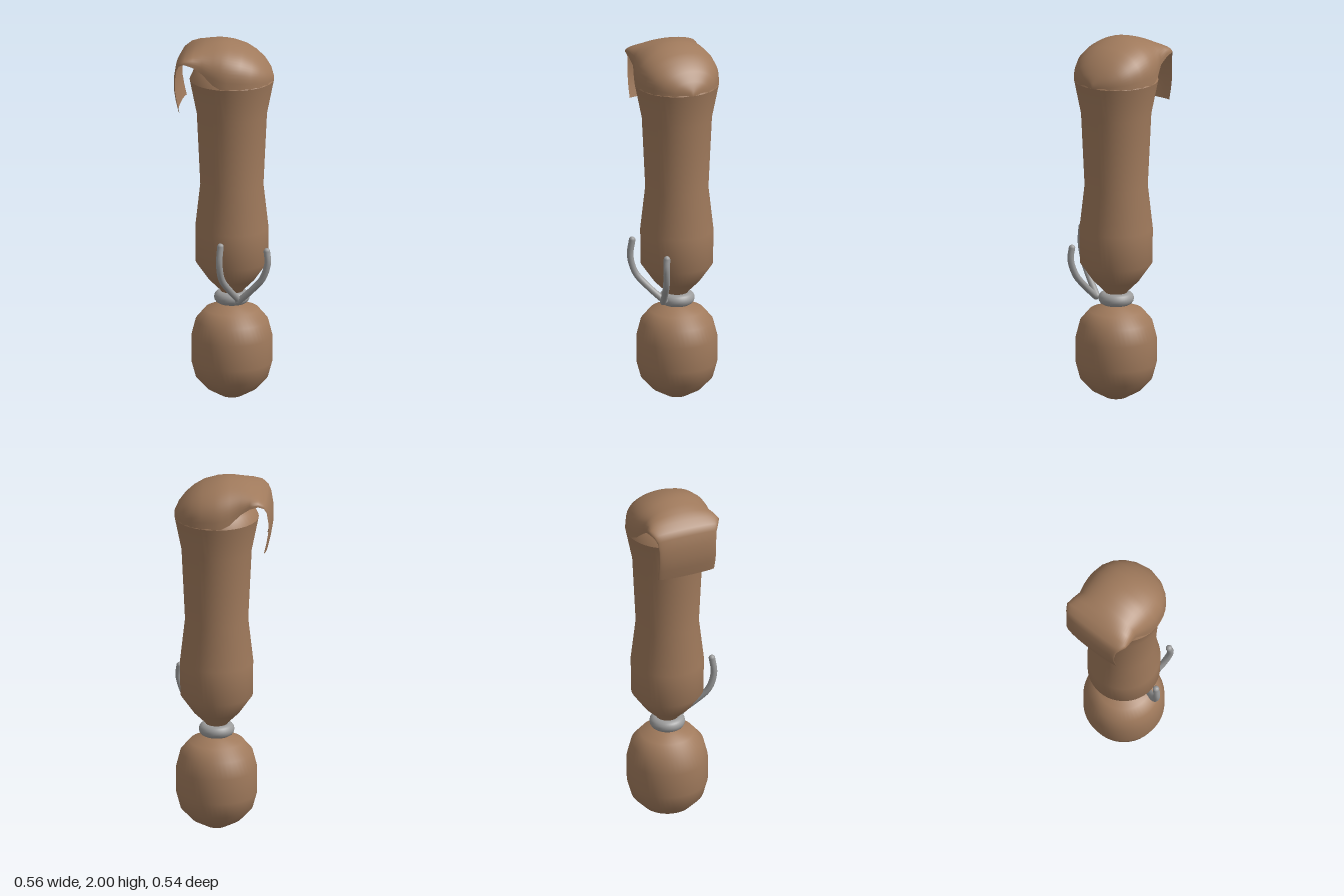
import * as THREE from 'three';

const AX = 0.053, AZ = 0.02; // vertical axis of the turned parts

export function createModel() {
  const group = new THREE.Group();
  const leather = new THREE.MeshStandardMaterial({ color: 0xa07a5c, side: THREE.DoubleSide });
  leather.name = 'brown leather';
  const metal = new THREE.MeshStandardMaterial({ color: 0x9c9c9c });
  metal.name = 'grey metal';

  const add = (name, geometry, material) => {
    const mesh = new THREE.Mesh(geometry, material);
    mesh.name = name;
    group.add(mesh);
    return mesh;
  };
  const turned = (name, profile) => {
    const pts = profile.map(([r, y]) => new THREE.Vector2(r, y));
    add(name, new THREE.LatheGeometry(pts, 48), leather).position.set(AX, 0, AZ);
  };

  // Rounded knob at the bottom
  turned('knob', [[0, 0], [0.055, 0.005], [0.135, 0.05], [0.195, 0.115], [0.218, 0.2],
    [0.218, 0.34], [0.195, 0.43], [0.145, 0.49], [0.05, 0.52], [0, 0.525]]);

  // Long sheath, closed by a low dome beneath the cover
  turned('sheath', [[0.04, 0.56], [0.065, 0.6], [0.125, 0.66], [0.195, 0.76], [0.197, 0.95],
    [0.17, 1.19], [0.189, 1.59], [0.227, 1.78]]);
  turned('innerDome', [[0.227, 1.78], [0.205, 1.83], [0.15, 1.885], [0.08, 1.91], [0, 1.915]]);

  // Neck ring
  const ring = new THREE.TorusGeometry(0.062, 0.034, 16, 48);
  ring.rotateX(Math.PI / 2);
  add('neckRing', ring, metal).position.set(AX, 0.558, AZ);

  // Cover: arched cross-sections running from the front rim back into a hanging flap
  // Each row: distance along the drape, half width, middle height, edge height, outward bow
  const R = 0.227;
  const rows = [[-0.227, 1.78], [-0.226, 1.81], [-0.205, 1.855], [-0.17, 1.9],
    [-0.125, 1.94], [-0.07, 1.972], [0, 1.993]]
    .map(([u, y]) => [u, Math.sqrt(Math.max(0, R * R - u * u)), y, 1.78, 0]);
  rows.push(
    [0.04, 0.224, 1.999, 1.785, 0], [0.08, 0.216, 2.0, 1.805, 0],
    [0.14, 0.196, 1.99, 1.86, 0], [0.19, 0.2, 1.975, 1.895, 0],
    [0.235, 0.203, 1.95, 1.91, 0], [0.265, 0.185, 1.92, 1.895, 0.008],
    [0.28, 0.17, 1.885, 1.865, 0.012], [0.288, 0.165, 1.82, 1.81, 0.015],
    [0.288, 0.165, 1.75, 1.75, 0.016], [0.278, 0.165, 1.69, 1.69, 0.016],
    [0.264, 0.163, 1.63, 1.63, 0.016]);
  const N = 32, positions = [], index = [];
  const dx = -0.891, dz = -0.453; // drape direction
  rows.forEach(([u, w, mid, edge, bow], i) => {
    for (let j = 0; j <= N; j++) {
      const a = (j / N - 0.5) * Math.PI;
      const arch = Math.max(0, Math.cos(a));
      const v = w * Math.sin(a), p = u + bow * arch;
      positions.push(AX + dx * p - dz * v, edge + (mid - edge) * Math.pow(arch, 0.7), AZ + dz * p + dx * v);
      if (i < rows.length - 1 && j < N) {
        const k = i * (N + 1) + j;
        index.push(k, k + 1, k + N + 1, k + 1, k + N + 2, k + N + 1);
      }
    }
  });
  const cover = new THREE.BufferGeometry();
  cover.setAttribute('position', new THREE.Float32BufferAttribute(positions, 3));
  cover.setIndex(index);
  cover.computeVertexNormals();
  add('drapedCover', cover, leather);

  // Two curved prongs rising from the ring, with rounded ends
  const prong = (name, points) => {
    const pts = points.map(p => new THREE.Vector3(...p));
    const curve = new THREE.CatmullRomCurve3(pts);
    add(name, new THREE.TubeGeometry(curve, 20, 0.018, 10), metal);
    for (const end of [pts[0], pts[pts.length - 1]]) {
      add(name + 'End', new THREE.SphereGeometry(0.018, 10, 8), metal).position.copy(end);
    }
  };
  prong('rightProng', [[0.055, 0.565, 0.125], [-0.015, 0.64, 0.172], [-0.075, 0.72, 0.212],
    [-0.096, 0.82, 0.232], [-0.087, 0.91, 0.226]]);
  prong('leftProng', [[0.05, 0.56, 0.13], [0.105, 0.63, 0.18], [0.153, 0.705, 0.225],
    [0.175, 0.8, 0.25], [0.172, 0.862, 0.243]]);

  return group;
}
